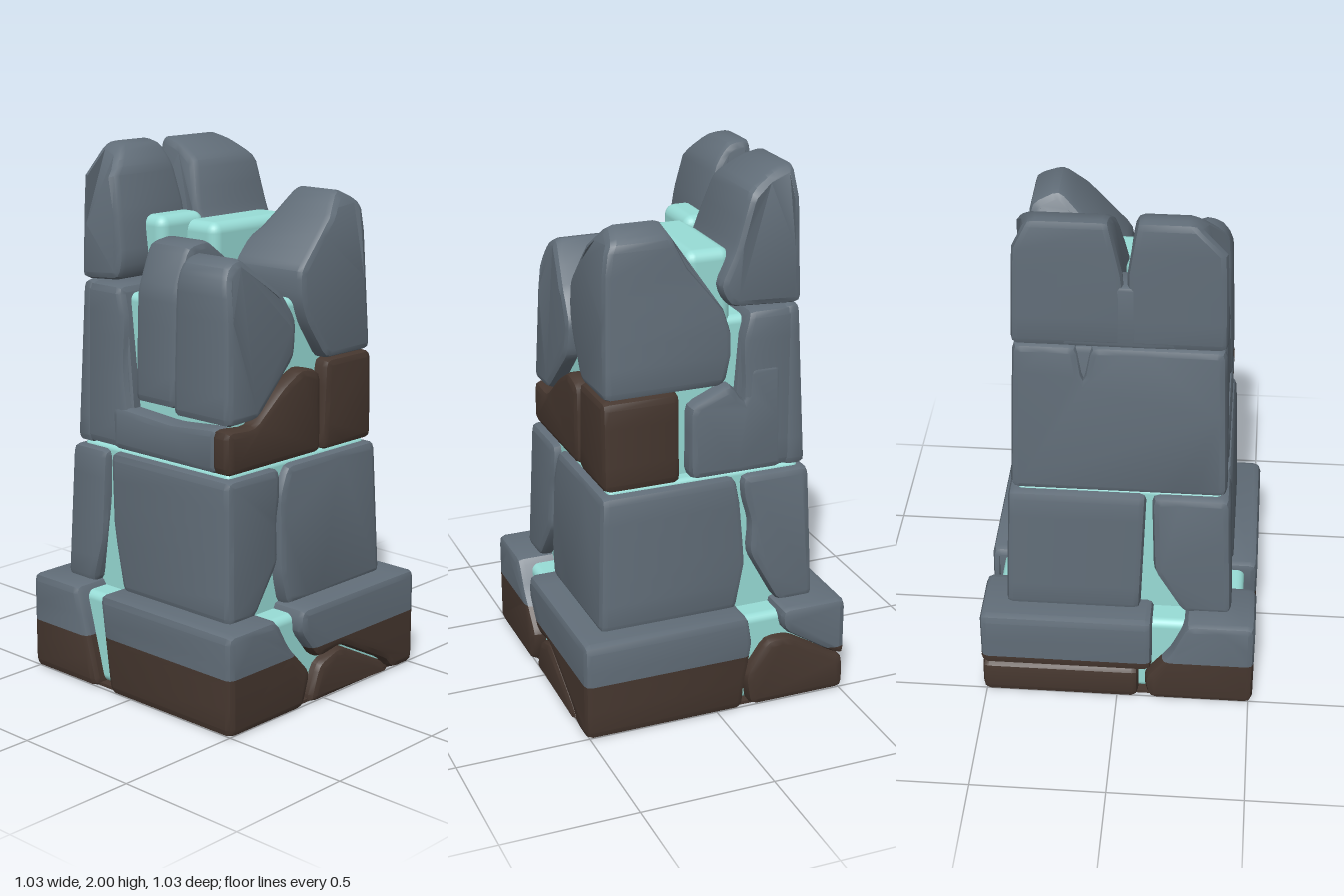
import * as THREE from 'three';
import { toCreasedNormals } from 'three/addons/utils/BufferGeometryUtils.js';
import { RoundedBoxGeometry } from 'three/addons/geometries/RoundedBoxGeometry.js';

const material = (name, color) => {
  const m = new THREE.MeshStandardMaterial({ color });
  m.name = name;
  return m;
};

// Piecewise linear value at height y; a plain number is constant
function at(rule, y) {
  if (typeof rule === 'number') return rule;
  if (y <= rule[0][0]) return rule[0][1];
  for (let i = 1; i < rule.length; i++) {
    const [y0, v0] = rule[i - 1], [y1, v1] = rule[i];
    if (y <= y1) return v0 + (v1 - v0) * (y - y0) / (y1 - y0);
  }
  return rule[rule.length - 1][1];
}

// Round the outline's corners and subdivide its long edges
function soften(points, r) {
  const v = points.map(p => new THREE.Vector2(...p)), n = v.length, out = [];
  const toward = (a, b) => a.clone().lerp(b, Math.min(0.4, r / a.distanceTo(b)));
  for (let i = 0; i < n; i++) {
    const p = v[i], next = v[(i + 1) % n];
    const a = toward(p, v[(i + n - 1) % n]), b = toward(p, next);
    out.push(a, new THREE.QuadraticBezierCurve(a, p, b).getPoint(0.5), b);
    const end = toward(next, p), steps = Math.max(1, Math.round(b.distanceTo(end) / 0.08));
    for (let k = 1; k < steps; k++) out.push(b.clone().lerp(end, k / steps));
  }
  return out;
}

// Cut triangles at a height: group 0 below, group 1 above
function splitAt(pos, height) {
  const sides = [[], []];
  for (let i = 0; i < pos.count; i += 3) {
    const tri = [0, 1, 2].map(k => new THREE.Vector3().fromBufferAttribute(pos, i + k));
    [-1, 1].forEach((sign, s) => {
      const poly = [];
      tri.forEach((a, k) => {
        const b = tri[(k + 1) % 3], da = (a.y - height) * sign, db = (b.y - height) * sign;
        if (da >= 0) poly.push(a);
        if (da * db < 0) poly.push(a.clone().lerp(b, da / (da - db)));
      });
      for (let k = 2; k < poly.length; k++) {
        for (const p of [poly[0], poly[k - 1], poly[k]]) sides[s].push(p.x, p.y, p.z);
      }
    });
  }
  const g = new THREE.BufferGeometry();
  g.setAttribute('position', new THREE.Float32BufferAttribute([...sides[0], ...sides[1]], 3));
  g.addGroup(0, sides[0].length / 3, 0);
  g.addGroup(sides[0].length / 3, sides[1].length / 3, 1);
  return g;
}

// Bevelled stone: outline [across, y] swept from lo(y) to hi(y).
// axis 'z': across = x.  axis 'x': across = -z.
function stoneGeometry(axis, outline, lo, hi, split, bevel = 0.025) {
  let g = new THREE.ExtrudeGeometry(new THREE.Shape(soften(outline, 0.03)), {
    depth: 1 - 2 * bevel, bevelThickness: bevel, bevelSize: bevel,
    bevelOffset: -bevel, bevelSegments: 2, steps: 1,
  });
  const p = g.attributes.position;
  for (let i = 0; i < p.count; i++) {
    const y = p.getY(i), d = p.getZ(i) + bevel;
    p.setZ(i, d < 0.5 ? at(lo, y) + d : at(hi, y) - (1 - d));
  }
  if (axis === 'x') g.rotateY(Math.PI / 2);
  if (split) g = splitAt(p, split);
  else { g.clearGroups(); g.deleteAttribute('uv'); }
  g.deleteAttribute('normal');
  return toCreasedNormals(g, 0.5);
}

export function createModel() {
  const model = new THREE.Group();
  model.name = 'ruinedStonePillar';
  const grey = material('slateStone', 0x616d78);
  const brown = material('brownStone', 0x46372f);
  const cyan = material('glowCrystal', 0x98dcd6);

  const add = (name, geometry, mat) => {
    const mesh = new THREE.Mesh(geometry, mat);
    mesh.name = name;
    model.add(mesh);
  };
  const stone = (name, mat, ...args) => add(name, stoneGeometry(...args), mat);
  const crystal = (name, x0, x1, y0, y1, z0, z1, r) => {
    const g = new RoundedBoxGeometry(x1 - x0, y1 - y0, z1 - z0, 3, r);
    g.translate((x0 + x1) / 2, (y0 + y1) / 2, (z0 + z1) / 2);
    add(name, g, cyan);
  };

  // Crystal core seen through the gaps
  crystal('baseCore', -0.465, 0.465, 0.01, 0.35, -0.465, 0.465, 0.03);
  crystal('middleCore', -0.37, 0.37, 0.3, 0.9, -0.37, 0.37, 0.02);
  crystal('upperCore', -0.32, 0.32, 0.86, 1.47, -0.2, 0.33, 0.03);
  crystal('topCrystal', -0.11, 0.32, 1.38, 1.72, -0.12, 0.055, 0.04);
  crystal('rearCrystal', -0.24, -0.01, 1.38, 1.745, -0.2, -0.08, 0.04);
  const floor = new THREE.BoxGeometry(0.97, 0.012, 0.97);
  floor.translate(0, 0.007, 0);
  add('underside', floor, brown);

  // Base tier, stained brown below
  const stained = [brown, grey];
  stone('baseFrontLeft', stained, 'z',
    [[-0.515, 0], [-0.12, 0], [-0.08, 0.13], [-0.2, 0.26], [-0.265, 0.375], [-0.515, 0.375]],
    [[0, -0.1], [0.15, -0.12], [0.375, -0.15]], 0.515, 0.215);
  stone('baseFrontRight', stained, 'z',
    [[-0.13, 0.375], [-0.14, 0.29], [-0.04, 0.165], [0.09, 0.185], [0.36, 0.045], [0.39, 0],
      [0.515, 0], [0.515, 0.375]],
    [[0, -0.1], [0.12, -0.11], [0.25, -0.14], [0.375, -0.12]], 0.515, 0.215);
  stone('baseFrontWedge', brown, 'z',
    [[-0.08, 0], [-0.03, 0.14], [0.09, 0.178], [0.355, 0.04], [0.38, 0]], 0.2, 0.512);
  stone('baseBackRightTop', stained, 'x',
    [[0.255, 0.375], [0.26, 0.29], [0.47, 0.155], [0.515, 0.14], [0.515, 0.375]],
    -0.13, 0.515, 0.18);
  stone('baseBackRightFoot', brown, 'x',
    [[0.13, 0], [0.11, 0.13], [0.2, 0.26], [0.29, 0.26], [0.47, 0.15], [0.515, 0.13], [0.515, 0]],
    -0.08, 0.512);
  stone('baseBackLeft', stained, 'z',
    [[-0.515, 0], [-0.12, 0], [-0.1, 0.1], [-0.2, 0.23], [-0.26, 0.375], [-0.515, 0.375]],
    -0.515, [[0, -0.17], [0.375, -0.27]], 0.19);

  // Middle tier
  const out2 = [[0.36, 0.422], [0.885, 0.402]], in2 = [[0.36, -0.422], [0.885, -0.402]];
  stone('middleFrontLeft', grey, 'z',
    [[-0.422, 0.36], [-0.28, 0.36], [-0.15, 0.54], [-0.15, 0.7], [-0.13, 0.78], [-0.13, 0.885], [-0.402, 0.885]],
    [[0.36, -0.12], [0.6, -0.18], [0.885, -0.2]], out2);
  stone('middleFrontRight', grey, 'z',
    [[-0.11, 0.36], [-0.14, 0.48], [-0.135, 0.78], [-0.09, 0.885], [0.402, 0.885], [0.42, 0.36]],
    [[0.36, -0.11], [0.55, -0.15], [0.8, -0.13], [0.885, -0.11]], out2);
  stone('middleBackRight', grey, 'x',
    [[0.28, 0.36], [0.16, 0.58], [0.17, 0.7], [0.14, 0.8], [0.135, 0.885], [0.402, 0.885], [0.422, 0.36]],
    [[0.36, -0.08], [0.885, -0.1]], out2);
  stone('middleBackLeft', grey, 'z',
    [[-0.422, 0.36], [-0.24, 0.36], [-0.13, 0.55], [-0.12, 0.885], [-0.402, 0.885]],
    in2, [[0.36, -0.28], [0.55, -0.23], [0.885, -0.22]]);

  // Upper tier
  stone('upperFrontLeftBrown', brown, 'z',
    [[-0.39, 0.895], [0.105, 0.895], [0.1, 1.2], [0.0, 1.225], [-0.1, 1.17], [-0.25, 1.05], [-0.39, 1.06]],
    0.3, 0.39);
  stone('upperFrontRightBrown', brown, 'z',
    [[0.115, 0.895], [0.392, 0.895], [0.385, 1.235], [0.13, 1.235]], 0.1, 0.39);
  stone('upperLeftLow', grey, 'x',
    [[-0.33, 0.895], [0.2, 0.895], [0.2, 1.06], [-0.1, 1.04], [-0.33, 1.06]], -0.39, -0.05);
  stone('upperRightArm', grey, 'x',
    [[-0.06, 0.895], [0.3, 0.895], [0.3, 1.3], [0.16, 1.3], [0.15, 1.16], [0.1, 1.24], [-0.06, 1.17]],
    0.1, [[0.895, 0.39], [1.3, 0.378]]);
  stone('upperBackSlab', grey, 'z',
    [[-0.39, 0.895], [0.392, 0.895], [0.37, 1.505], [0.145, 1.505], [0.125, 1.36], [0.1, 1.505], [-0.37, 1.505]],
    [[0.895, -0.39], [1.505, -0.365]], -0.3);
  stone('upperBackBacking', grey, 'z',
    [[-0.388, 0.9], [0.388, 0.9], [0.37, 1.5], [-0.37, 1.5]],
    -0.35, [[0.9, -0.1], [1.2, -0.15], [1.38, -0.14], [1.5, -0.17]]);

  // Broken front crown
  stone('crownFrontRight', grey, 'z',
    [[0.13, 1.235], [0.385, 1.235], [0.355, 1.79], [0.25, 1.84], [0.18, 1.77], [0.0, 1.57], [0.0, 1.46], [0.03, 1.38]],
    [[1.23, -0.06], [1.3, -0.1], [1.48, -0.1], [1.7, 0.08], [1.84, 0.13]],
    [[1.23, 0.385], [1.74, 0.37], [1.84, 0.32]]);
  stone('crownFrontLeft', grey, 'z',
    [[-0.388, 1.07], [-0.23, 1.075], [-0.03, 1.27], [-0.015, 1.4], [-0.08, 1.5], [-0.27, 1.65], [-0.34, 1.62], [-0.37, 1.55]],
    0.11, [[1.07, 0.388], [1.5, 0.37], [1.65, 0.33]]);
  stone('crownMiddleLeft', grey, 'z',
    [[-0.38, 1.09], [-0.08, 1.09], [-0.03, 1.3], [-0.025, 1.53], [-0.09, 1.6], [-0.2, 1.68], [-0.3, 1.665], [-0.365, 1.5]],
    -0.09, 0.115);

  // Tall back crown
  stone('crownBackRight', grey, 'x',
    [[0.05, 1.6], [0.09, 1.52], [0.368, 1.505], [0.358, 2.0], [0.27, 1.98], [0.17, 1.92], [0.11, 1.72]],
    [[1.5, -0.02], [1.75, -0.02], [2, 0.035]], [[1.5, 0.375], [1.9, 0.36], [2, 0.3]]);
  stone('crownBackLeft', grey, 'x',
    [[0.15, 1.6], [0.17, 1.52], [0.368, 1.505], [0.358, 2.0], [0.27, 1.995], [0.21, 1.92], [0.17, 1.75]],
    [[1.5, -0.375], [1.88, -0.365], [2, -0.25]], [[1.5, -0.028], [1.8, -0.028], [2, -0.06]]);
  stone('crownBackJoin', grey, 'z',
    [[-0.2, 1.51], [0.2, 1.51], [0.2, 1.75], [-0.2, 1.75]],
    [[1.5, -0.367], [1.75, -0.362]], -0.25, 0, 0.012);

  return model;
}
